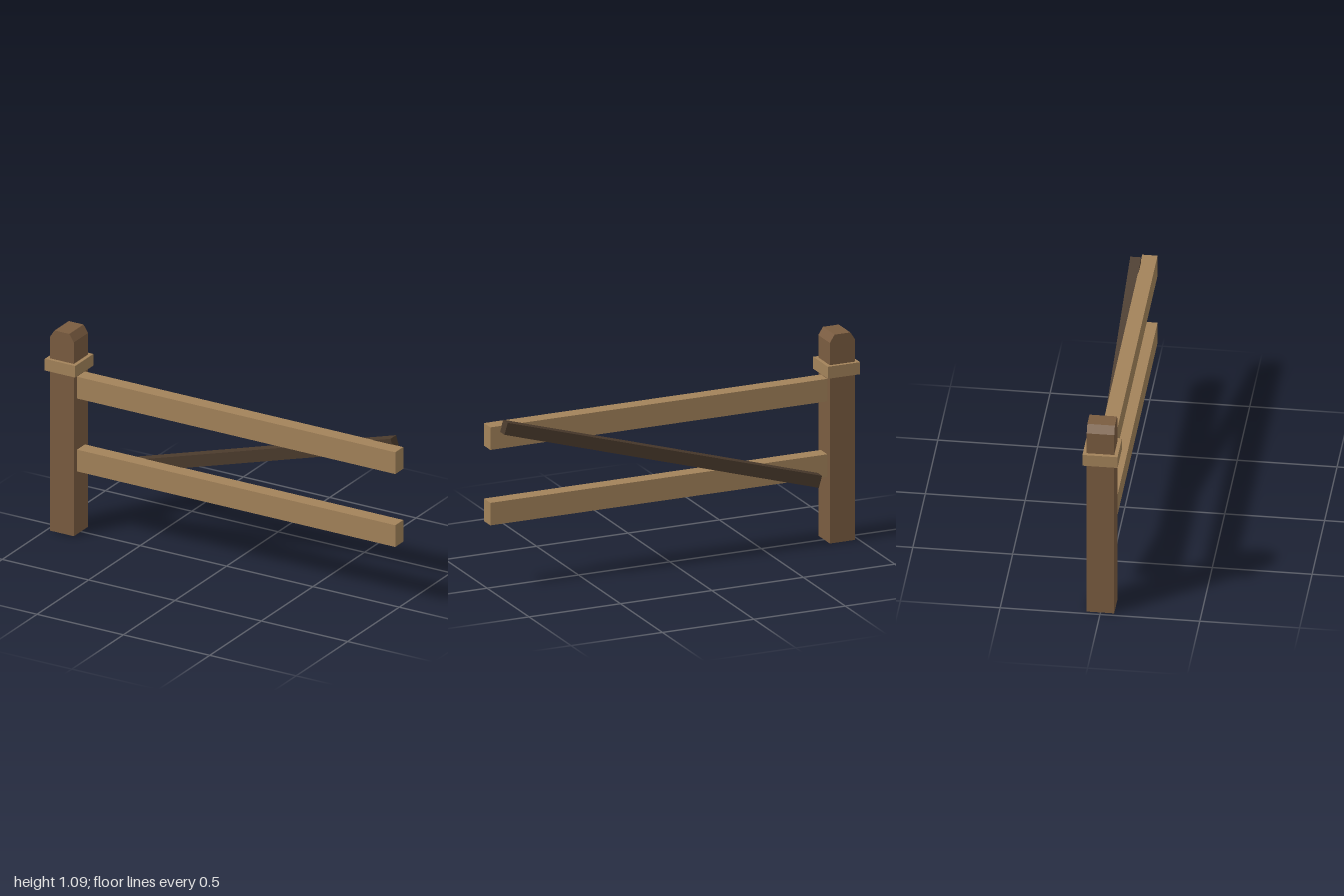
import * as THREE from 'three';

function material(name, color) {
  const m = new THREE.MeshStandardMaterial({ color });
  m.name = name;
  return m;
}

export function createModel() {
  const group = new THREE.Group();
  group.name = 'fenceSection';
  const postWood = material('post brown', 0x7a5c40);
  const railWood = material('light rail brown', 0xa3835a);
  const braceWood = material('dark brace brown', 0x4a3a2c);

  const add = (name, geometry, mat, x, y, z) => {
    const mesh = new THREE.Mesh(geometry, mat);
    mesh.name = name;
    mesh.position.set(x, y, z);
    group.add(mesh);
    return mesh;
  };

  // Square post, its top bevelled on the left and right sides only
  const half = 0.069, topHalf = 0.043, shoulder = 1.05, height = 1.09;
  const profile = new THREE.Shape([
    [-half, 0], [half, 0], [half, shoulder],
    [topHalf, height], [-topHalf, height], [-half, shoulder],
  ].map(([x, y]) => new THREE.Vector2(x, y)));
  const postGeometry = new THREE.ExtrudeGeometry(profile, { depth: 2 * half, bevelEnabled: false });
  postGeometry.translate(0, 0, -half);
  add('post', postGeometry, postWood, -0.912, 0, 0);

  // Collar around the post
  add('collar', new THREE.BoxGeometry(0.176, 0.063, 0.176), railWood, -0.912, 0.902, 0);

  // Two horizontal rails butting against the post
  const railGeometry = new THREE.BoxGeometry(1.843, 0.118, 0.077);
  add('lowerRail', railGeometry, railWood, 0.0785, 0.399, 0);
  add('upperRail', railGeometry, railWood, 0.0785, 0.794, 0);

  // Diagonal brace across the back of the rails
  const brace = add('brace', new THREE.BoxGeometry(1.795, 0.063, 0.054), braceWood, 0.0775, 0.595, -0.0625);
  brace.rotation.z = 0.291;

  return group;
}
